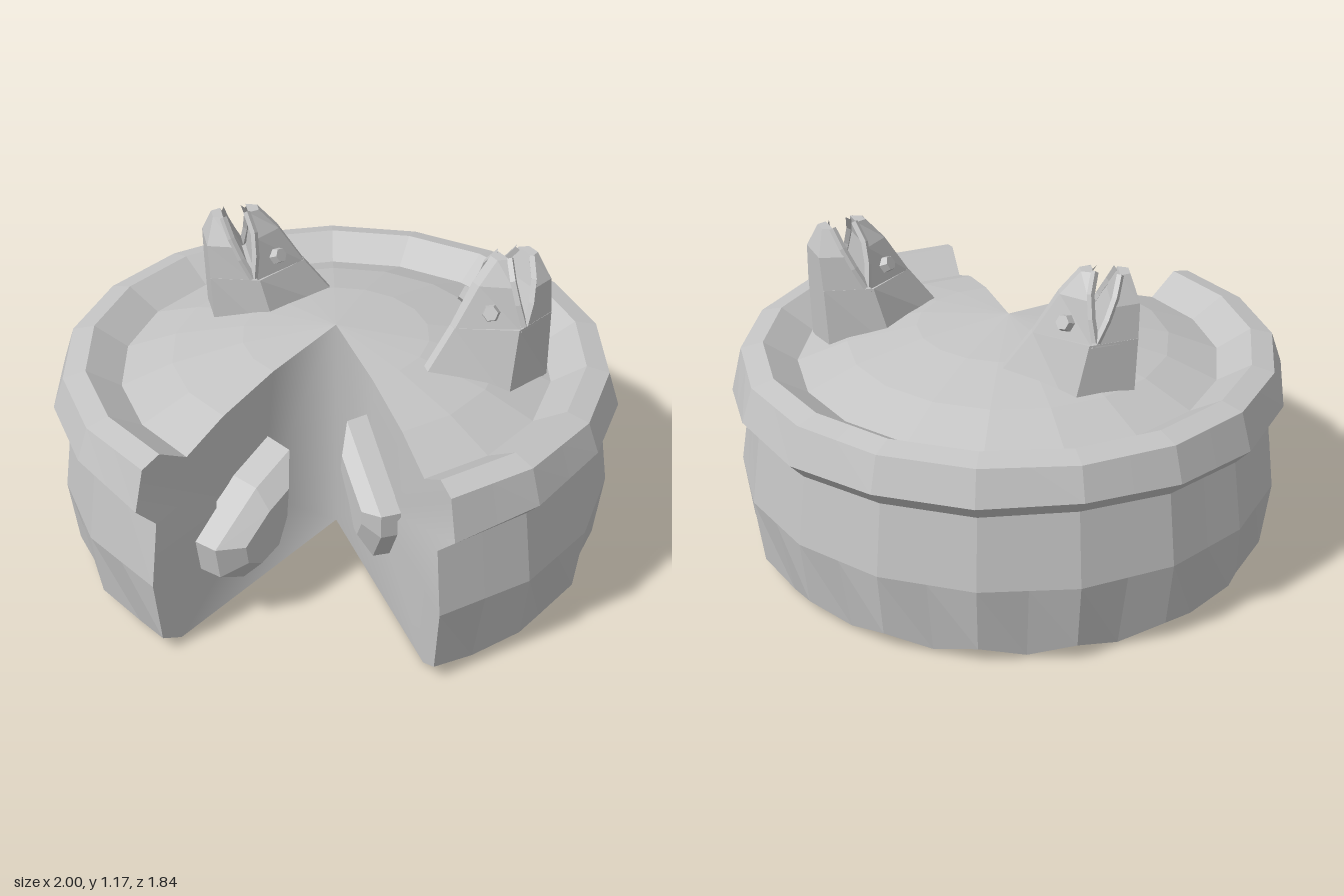
import * as THREE from 'three';
import { mergeVertices } from 'three/addons/utils/BufferGeometryUtils.js';

const V = (x, y, z) => new THREE.Vector3(x, y, z);
const crust = new THREE.MeshStandardMaterial({ color: 0xc4c4c4 });
crust.name = 'plain grey';

function geometryFrom(points) {
  const g = new THREE.BufferGeometry().setFromPoints(points);
  g.computeVertexNormals();
  return g;
}

function add(parent, name, geometry) {
  const mesh = new THREE.Mesh(geometry, crust);
  mesh.name = name;
  parent.add(mesh);
  return mesh;
}

// Faceted surface from neighbouring columns of points, each running top to bottom
function sheet(cols) {
  const tris = [];
  for (let i = 0; i + 1 < cols.length; i++) {
    for (let j = 0; j + 1 < cols[i].length; j++) {
      const a = cols[i][j], b = cols[i + 1][j], c = cols[i + 1][j + 1], d = cols[i][j + 1];
      for (const t of [[a, b, d], [b, c, d]]) {
        if (t[0].distanceTo(t[1]) > 1e-5 && t[1].distanceTo(t[2]) > 1e-5 && t[2].distanceTo(t[0]) > 1e-5) tris.push(...t);
      }
    }
  }
  return geometryFrom(tris);
}

// Closed rings, top first, with a cap on the top ring
function loft(rings) {
  const top = rings[0].reduce((s, p) => s.add(p), V(0, 0, 0)).divideScalar(rings[0].length);
  const cols = rings[0].map((_, i) => [top, ...rings.map(r => r[i])]);
  return sheet([...cols, cols[0]]);
}

// Pie body: a profile swept round, leaving the missing slice open at the front
function addPie(group) {
  const angles = [-149, -130, -110, -90, -70, -50, -30, -10, 10, 30, 50, 70, 90, 110, 130, 149];
  const wave = [-0.02, 0.01, 0.01, 0, -0.01, 0, 0.01, 0, 0, -0.01, 0, -0.04, 0, 0.02, 0, -0.02];
  const profile = [
    [0, 0.85], [0.33, 0.815], [0.58, 0.76], [0.76, 0.69], [0.88, 0.765], [0.96, 0.745],
    [1, 0.62], [0.945, 0.56], [0.98, 0.3], [0.95, 0.06], [0.86, 0.005], [0, 0],
  ];
  const main = angles.map((deg, i) => profile.map(([r, y], j) => {
    const t = THREE.MathUtils.degToRad(deg + (j > 6 ? Math.sign(deg) * (Math.abs(deg) > 140 ? 2 : 0) : 0));
    return V(r * Math.sin(t), y + (j === 6 || j === 7 ? wave[i] : 0), 0.06 - r * Math.cos(t));
  }));
  // Scalloped foot: the middle of each panel reaches the ground
  const cols = [];
  main.forEach((col, i) => {
    cols.push(col);
    if (i + 1 === main.length) return;
    const mid = col.map((p, j) => p.clone().lerp(main[i + 1][j], 0.5));
    mid[9].multiplyScalar(0.97).setY(0.012);
    cols.push(mid);
  });
  add(group, 'pieCrust', sheet(cols));

  // Cut walls, shaded smoothly across the inner corner
  const tris = [];
  for (const [col, flip] of [[main[0], false], [main[main.length - 1], true]]) {
    const end = col[8].clone().setY(0);
    const middle = V(0, 0, 0.06).lerp(end, 0.42).setY(0.35);
    col.forEach((p, j) => {
      const q = col[(j + 1) % col.length];
      tris.push(...(flip ? [middle, q, p] : [middle, p, q]));
    });
  }
  const walls = new THREE.BufferGeometry().setFromPoints(tris);
  const smooth = mergeVertices(walls);
  smooth.computeVertexNormals();
  add(group, 'cutWalls', smooth);
}

// Filling chunk on a cut wall; outline is (distance from the inner corner, height)
function addChunk(group, side, outline, depth) {
  const n = outline.length;
  const cu = outline.reduce((s, p) => s + p[0], 0) / n;
  const cv = outline.reduce((s, p) => s + p[1], 0) / n;
  const order = side > 0 ? outline : [...outline].reverse();
  const ring = (scale, out) => order.map(([u0, v0]) => {
    const u = cu + (u0 - cu) * scale, v = cv + (v0 - cv) * scale;
    return V(side * (0.514 * u - 0.857 * out), v, 0.05 + 0.857 * u + 0.514 * out);
  });
  add(group, side > 0 ? 'leftChunk' : 'rightChunk',
    loft([ring(0.55, depth), ring(0.95, depth * 0.65), ring(1, -0.04)]));
}

// Fish head pointing up: local x is the brow side, z the width
function addFish(group, name, x, z, turn) {
  const fish = new THREE.Group();
  fish.name = name;
  fish.position.set(x, 0, z);
  fish.rotation.y = turn;
  group.add(fish);

  const body = (y, f, m, w, c, wc) => [
    V(f, y, -0.015), V(f, y, 0.015), V(m, y, w), V(c, y, wc), V(c, y, -wc), V(m, y, -w)];
  const jaw = (y, f, wf, m, w) => [V(f, y, -wf), V(f, y, wf), V(m, y, w), V(m, y, -w)];

  add(fish, 'head', loft([
    body(0.94, 0.16, -0.02, 0.14, -0.19, 0.09),
    body(0.7, 0.34, 0.04, 0.18, -0.18, 0.1),
  ]));
  add(fish, 'upperJaw', loft([
    jaw(1.16, 0, 0.02, -0.04, 0.035),
    jaw(1.08, 0.07, 0.02, -0.02, 0.09),
    jaw(0.93, 0.165, 0.015, -0.03, 0.14),
  ]));
  add(fish, 'lowerJaw', loft([
    jaw(1.15, -0.13, 0.04, -0.165, 0.025),
    jaw(1.06, -0.1, 0.1, -0.195, 0.07),
    jaw(0.93, -0.04, 0.135, -0.19, 0.09),
  ]));

  for (const s of [-1, 1]) {
    // Lips along the mouth edges, and a raised eye
    const lips = [
      [V(-0.04, 0.95, s * 0.138), V(-0.025, 1.08, s * 0.092), V(-0.045, 1.16, s * 0.03)],
      [V(-0.045, 0.95, s * 0.136), V(-0.1, 1.06, s * 0.1), V(-0.13, 1.15, s * 0.038)],
    ];
    lips.forEach((pts, i) => {
      const path = new THREE.CatmullRomCurve3(pts);
      const tube = new THREE.TubeGeometry(path, 3, 0.013, 4).toNonIndexed();
      tube.computeVertexNormals();
      add(fish, i ? 'lowerLip' : 'upperLip', tube);
    });
    const disc = new THREE.CylinderGeometry(0.026, 0.032, 0.03, 6).toNonIndexed();
    disc.computeVertexNormals();
    const eye = add(fish, 'eye', disc);
    eye.position.set(0.058, 1.0, s * 0.077);
    eye.quaternion.setFromUnitVectors(V(0, 1, 0), V(0.62, 0.42, s * 0.72).normalize());
  }
}

export function createModel() {
  const group = new THREE.Group();
  group.name = 'fishPie';
  addPie(group);
  addChunk(group, -1, [[0.38, 0.58], [0.56, 0.51], [0.78, 0.36], [0.76, 0.23], [0.64, 0.16], [0.48, 0.21], [0.4, 0.38]], 0.18);
  addChunk(group, 1, [[0.3, 0.66], [0.42, 0.58], [0.62, 0.45], [0.62, 0.36], [0.55, 0.23], [0.5, 0.24], [0.42, 0.38], [0.28, 0.55]], 0.13);
  addFish(group, 'rightFishHead', -0.32, -0.19, 0.35);
  addFish(group, 'leftFishHead', 0.54, 0.06, -2.45);
  return group;
}
